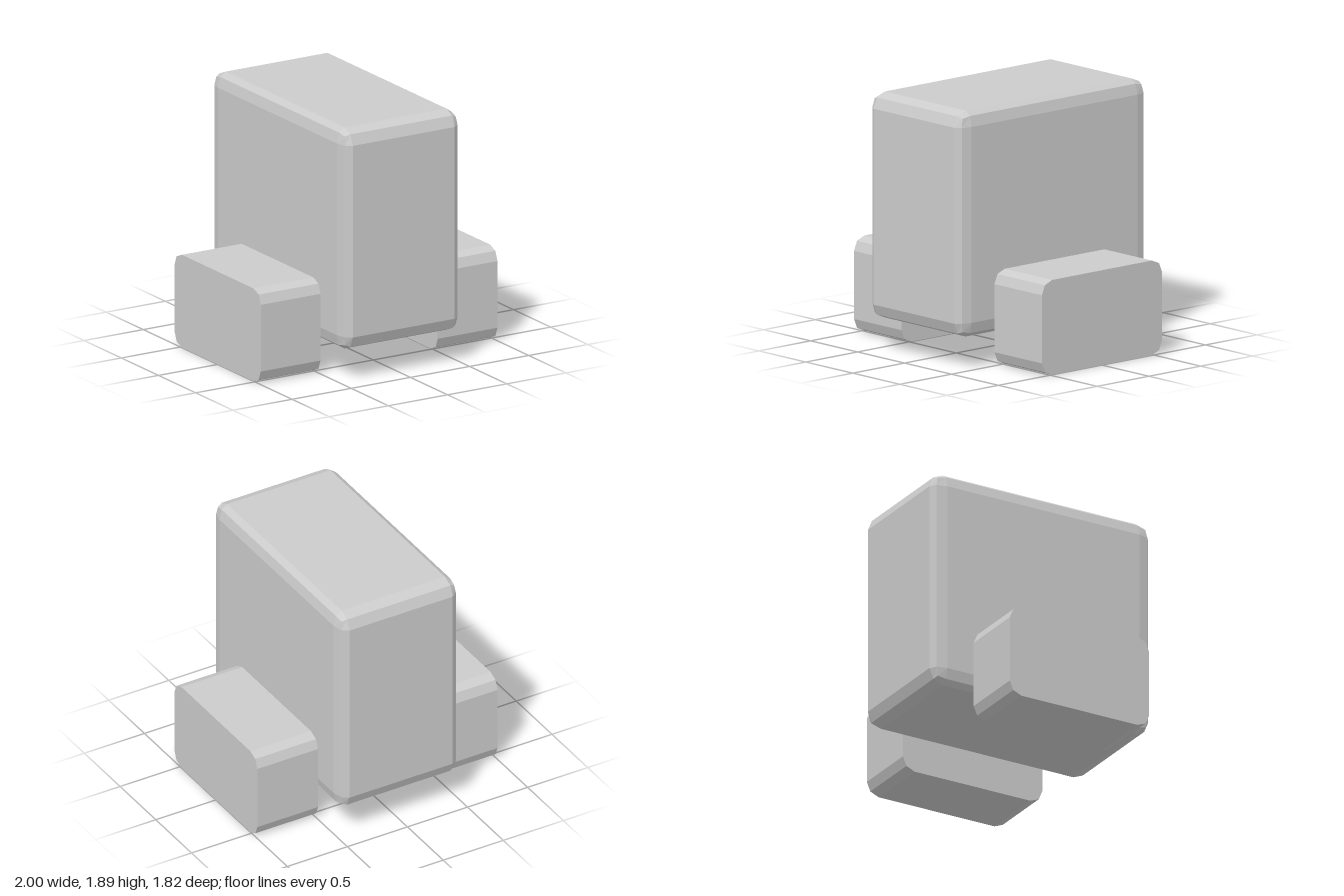
import * as THREE from 'three';
import { RoundedBoxGeometry } from 'three/addons/geometries/RoundedBoxGeometry.js';

const material = new THREE.MeshStandardMaterial({ color: 0xcccccc, flatShading: true });

// Tall block with every edge rounded in two facets; the rounding is narrower along x.
function createBody() {
  const radius = 0.11, squeeze = 0.065 / radius;
  const geometry = new RoundedBoxGeometry(0.99 / squeeze, 1.655, 1.82, 1, radius);
  geometry.scale(squeeze, 1, 1);
  geometry.computeVertexNormals();
  const body = new THREE.Mesh(geometry, material);
  body.name = 'body';
  body.position.y = 1.0625;
  return body;
}

// Side block: a rectangle with two-facet corners, extruded along x with flat ends.
function createSideBlock(name, centerX) {
  const halfZ = 0.58, halfY = 0.3475, radius = 0.098, length = 0.505;
  const points = [];
  [[1, 1], [-1, 1], [-1, -1], [1, -1]].forEach(([sx, sy], corner) => {
    for (let i = 0; i <= 2; i++) {
      const angle = (corner + i / 2) * Math.PI / 2;
      points.push(new THREE.Vector2(
        sx * (halfZ - radius) + radius * Math.cos(angle),
        sy * (halfY - radius) + radius * Math.sin(angle)));
    }
  });
  const geometry = new THREE.ExtrudeGeometry(new THREE.Shape(points), { depth: length, bevelEnabled: false });
  geometry.translate(0, 0, -length / 2);
  geometry.rotateY(Math.PI / 2);
  const block = new THREE.Mesh(geometry, material);
  block.name = name;
  block.position.set(centerX, halfY, 0);
  return block;
}

export function createModel() {
  const model = new THREE.Group();
  model.name = 'blockWithSideBlocks';
  model.add(
    createBody(),
    createSideBlock('leftSideBlock', 0.7475),
    createSideBlock('rightSideBlock', -0.7475));
  return model;
}
